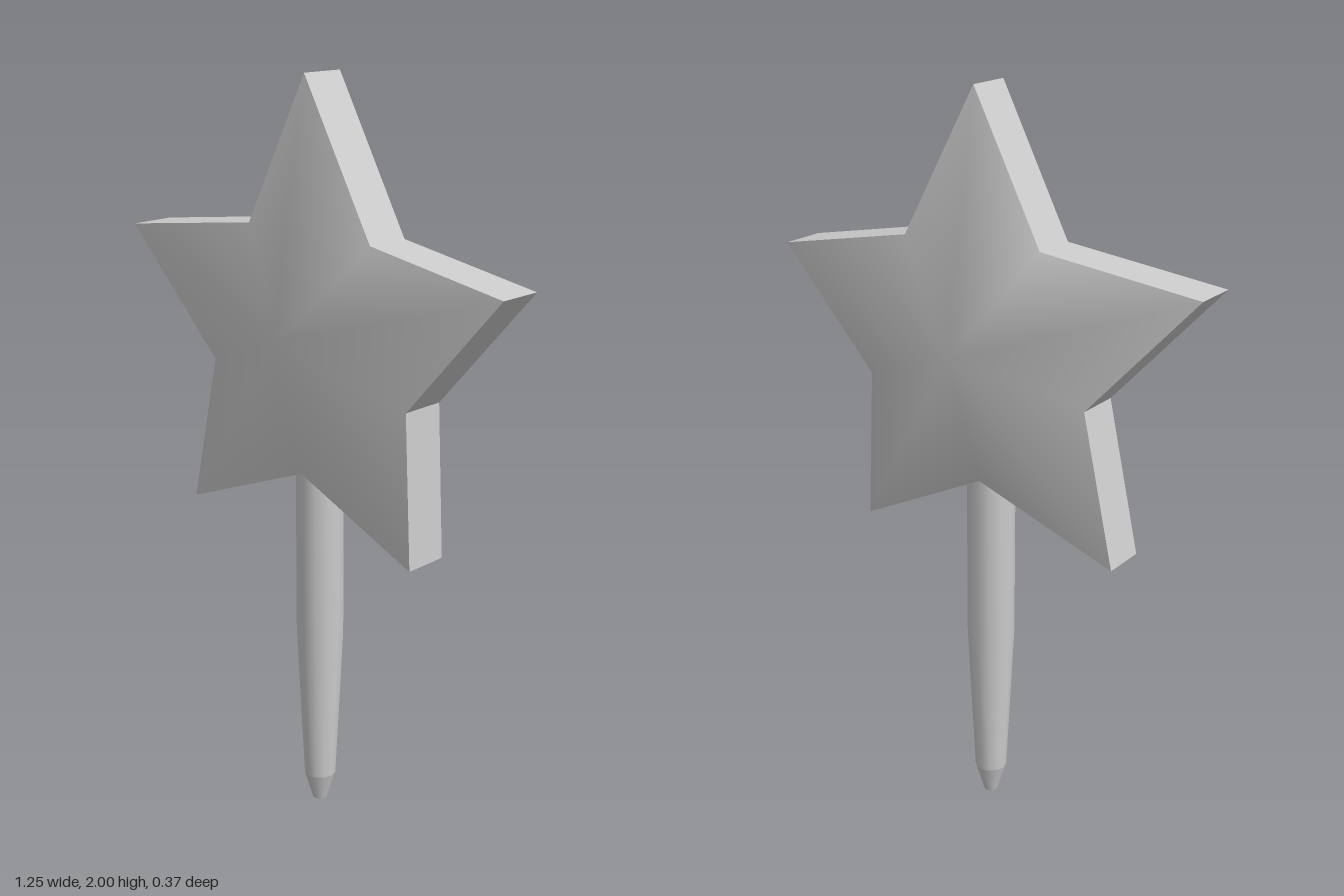
import * as THREE from 'three';

const FRONT = 0.085, BACK = -0.045, APEX = 0.185;

// Slightly uneven star outline, clockwise from the top point
const OUTLINE = [
  [0.01, 2], [0.225, 1.605], [0.625, 1.53], [0.345, 1.21], [0.365, 0.8],
  [-0.005, 0.975], [-0.41, 0.82], [-0.32, 1.23], [-0.63, 1.56], [-0.185, 1.615],
];

function buildGeometry(positions, index) {
  const g = new THREE.BufferGeometry();
  g.setAttribute('position', new THREE.Float32BufferAttribute(positions, 3));
  g.setIndex(index);
  g.computeVertexNormals();
  return g;
}

// Smooth fan from a raised centre to the outline
function starFace(edgeZ, apexZ) {
  const positions = [-0.005, 1.345, apexZ];
  const index = [];
  const n = OUTLINE.length;
  OUTLINE.forEach(([x, y], i) => {
    positions.push(x, y, edgeZ);
    const a = 1 + i, b = 1 + (i + 1) % n;
    if (apexZ > 0) index.push(0, b, a);
    else index.push(0, a, b);
  });
  return buildGeometry(positions, index);
}

// Flat band around the star, with a separate quad per side for sharp corners
function starRim() {
  const positions = [], index = [];
  OUTLINE.forEach(([x, y], i) => {
    const [u, v] = OUTLINE[(i + 1) % OUTLINE.length];
    const k = i * 4;
    positions.push(x, y, FRONT, u, v, FRONT, u, v, BACK, x, y, BACK);
    index.push(k, k + 1, k + 2, k, k + 2, k + 3);
  });
  return buildGeometry(positions, index);
}

export function createModel() {
  const group = new THREE.Group();
  const material = new THREE.MeshStandardMaterial({ color: 0xcccccc });
  const add = (name, geometry, parent) => {
    const mesh = new THREE.Mesh(geometry, material);
    mesh.name = name;
    parent.add(mesh);
    return mesh;
  };

  const star = new THREE.Group();
  star.name = 'star';
  group.add(star);
  add('starFront', starFace(FRONT, APEX), star);
  add('starBack', starFace(BACK, -APEX), star);
  add('starRim', starRim(), star);

  // Handle: straight shaft, slow taper, short blunt tip
  const handle = new THREE.Group();
  handle.name = 'handle';
  handle.position.set(0.002, 0, 0.021);
  group.add(handle);
  const lathe = (points) =>
    new THREE.LatheGeometry(points.map(([r, y]) => new THREE.Vector2(r, y)), 12);
  add('handleEnd', lathe([[0, 0], [0.02, 0]]), handle);
  add('handleTip', lathe([[0.02, 0], [0.044, 0.08]]), handle);
  add('handleShaft', lathe([[0.044, 0.08], [0.065, 0.51], [0.065, 0.98]]), handle);

  return group;
}
